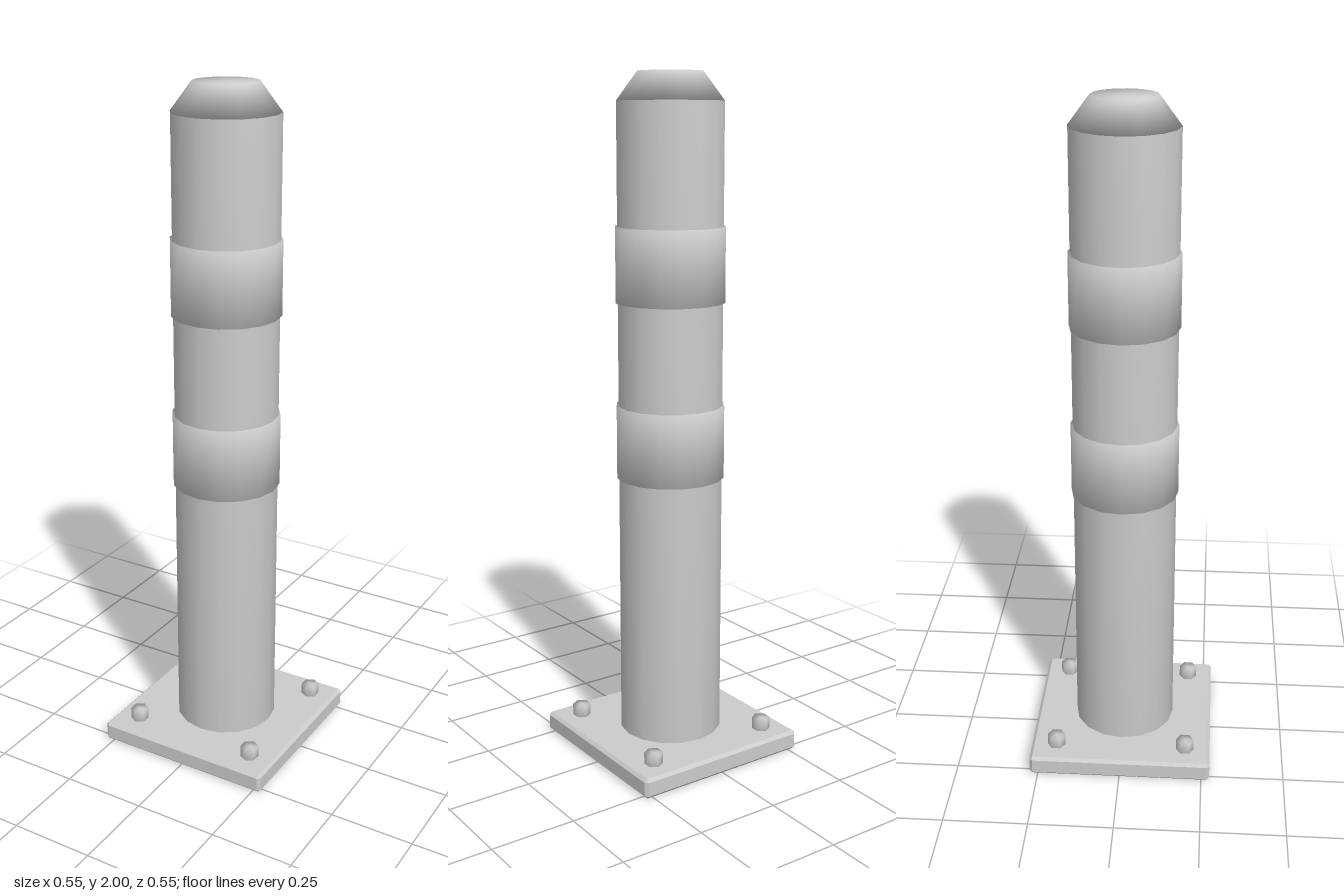
import * as THREE from 'three';
import { mergeVertices } from 'three/addons/utils/BufferGeometryUtils.js';
import { ConvexGeometry } from 'three/addons/geometries/ConvexGeometry.js';

const grey = new THREE.MeshStandardMaterial({ color: 0xcccccc });
grey.name = 'plainGrey';

// Closed cylinder standing on y0, with normals blended across its rims
function softCylinder(name, rTop, rBottom, y0, y1, sides, x = 0, z = 0) {
  let geo = new THREE.CylinderGeometry(rTop, rBottom, y1 - y0, sides);
  geo.deleteAttribute('uv');
  geo.deleteAttribute('normal');
  geo = mergeVertices(geo, 1e-4);
  geo.computeVertexNormals();
  const mesh = new THREE.Mesh(geo, grey);
  mesh.name = name;
  mesh.position.set(x, (y0 + y1) / 2, z);
  return mesh;
}

// Box with every edge chamfered, flat faces
function chamferedBox(name, w, h, d, c) {
  const points = [];
  for (const sx of [-1, 1]) for (const sy of [-1, 1]) for (const sz of [-1, 1]) {
    for (let axis = 0; axis < 3; axis++) {
      const inset = [c, c, c];
      inset[axis] = 0;
      points.push(new THREE.Vector3(
        sx * (w / 2 - inset[0]), sy * (h / 2 - inset[1]), sz * (d / 2 - inset[2])));
    }
  }
  const mesh = new THREE.Mesh(new ConvexGeometry(points), grey);
  mesh.name = name;
  mesh.position.y = h / 2;
  return mesh;
}

export function createModel() {
  const model = new THREE.Group();
  model.name = 'bollard';

  // Base plate with four hex bolts
  model.add(chamferedBox('basePlate', 0.55, 0.06, 0.55, 0.009));
  for (const x of [-0.198, 0.198]) for (const z of [-0.198, 0.198]) {
    model.add(softCylinder('bolt', 0.027, 0.027, 0.05, 0.095, 6, x, z));
  }

  // Post, raised bands and tapered cap
  model.add(softCylinder('post', 0.153, 0.153, 0.05, 1.92, 16));
  model.add(softCylinder('lowerBand', 0.159, 0.159, 0.845, 1.06, 16));
  model.add(softCylinder('upperBand', 0.159, 0.159, 1.36, 1.575, 16));
  model.add(softCylinder('cap', 0.093, 0.153, 1.92, 2.0, 16));

  return model;
}
